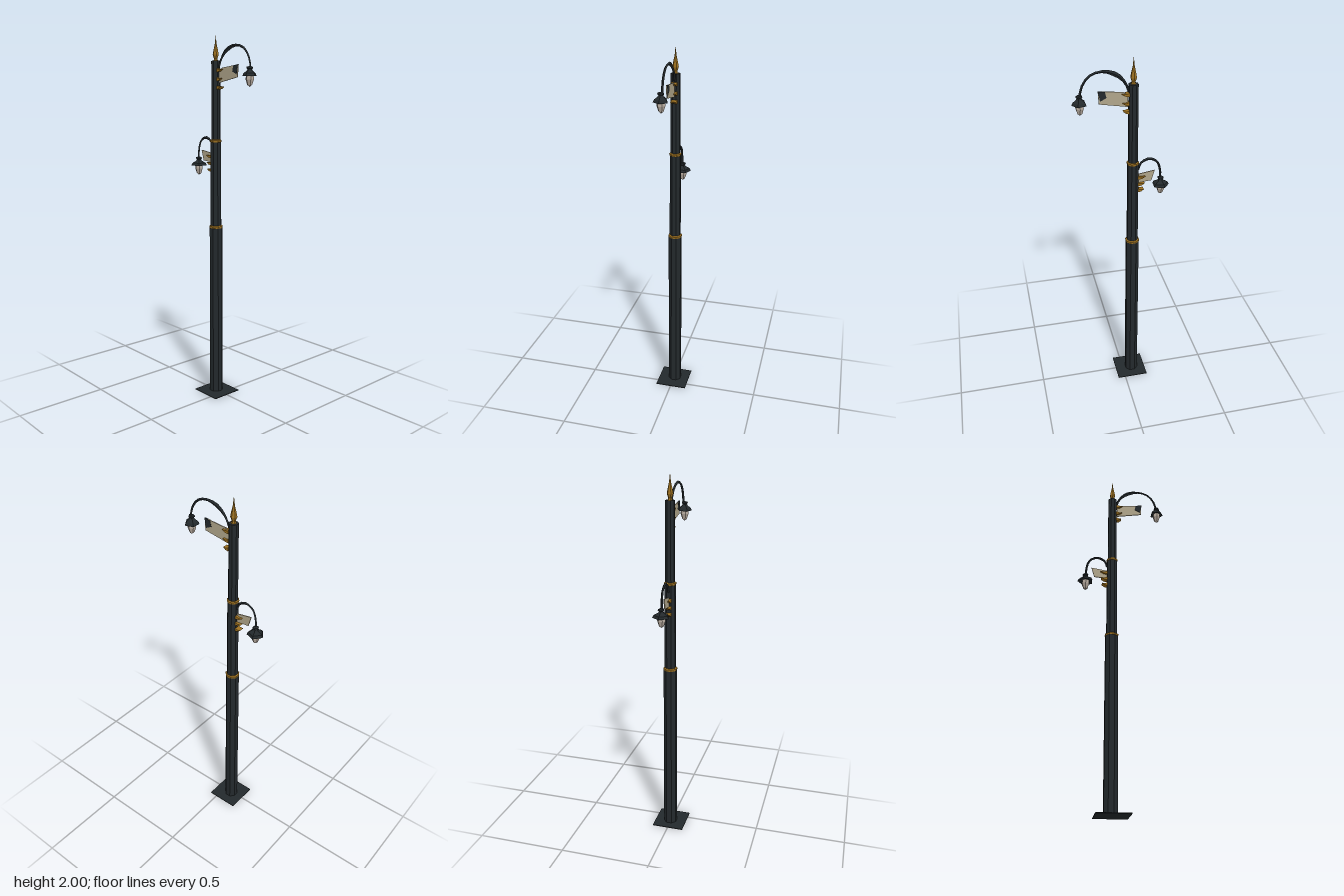
import * as THREE from 'three';

const AX = -0.054, AZ = -0.004; // pole axis
const mat = (color, side = THREE.FrontSide) =>
  new THREE.MeshStandardMaterial({ color, flatShading: true, side });
const iron = mat(0x23292c, THREE.DoubleSide);
const gold = mat(0x9c7020, THREE.DoubleSide);
const cream = mat(0xb0a58a, THREE.DoubleSide);
const glass = mat(0xb8aca0);

function add(parent, name, geometry, material, x = 0, y = 0, z = 0) {
  const m = new THREE.Mesh(geometry, material);
  m.name = name;
  m.position.set(x, y, z);
  parent.add(m);
  return m;
}
const lathe = (pts, sides, turn = 0) =>
  new THREE.LatheGeometry(pts.map(p => new THREE.Vector2(...p)), sides, turn);

// Flat outline in x/y, given a thickness centred on z
function slab(pts, depth) {
  const shape = new THREE.Shape(pts.map(p => new THREE.Vector2(...p)));
  return new THREE.ExtrudeGeometry(shape, { depth, bevelEnabled: false }).translate(0, 0, -depth / 2);
}

// Hanging lamp: cap and flared shade over a pointed glass bulb
function lamp(parent, name, x, y, z, r, turn) {
  const g = new THREE.Group();
  g.name = name;
  g.position.set(x, y, z);
  add(g, 'shade', lathe([[r, -0.008], [r * 0.85, 0.006], [0.017, 0.018], [0.012, 0.026],
    [0.018, 0.031], [0.016, 0.038], [0, 0.042]], 5, turn), iron);
  add(g, 'shadeUnderside', lathe([[0, 0], [r, -0.008]], 5, turn), iron);
  add(g, 'bulb', lathe([[0, -0.062], [0.013, -0.052], [0.022, -0.025], [0.02, 0]], 6), glass);
  parent.add(g);
}

// Curved arm through x/y points, swelling in height around its crest
function arm(parent, name, pts, z, swell) {
  const curve = new THREE.CatmullRomCurve3(pts.map(p => new THREE.Vector3(p[0], p[1], 0)));
  const n = 12, sides = 4;
  const geo = new THREE.TubeGeometry(curve, n, 0.006, sides, false);
  const pos = geo.attributes.position;
  for (let i = 0; i <= n; i++) {
    const c = curve.getPointAt(i / n);
    const k = 1 + swell * Math.exp(-(((i / n - 0.32) / 0.13) ** 2));
    for (let j = 0; j <= sides; j++) {
      const v = i * (sides + 1) + j;
      pos.setXY(v, c.x + (pos.getX(v) - c.x) * k, c.y + (pos.getY(v) - c.y) * k);
    }
  }
  add(parent, name, geo, iron, 0, 0, z);
}

// Wedge-shaped scroll brackets stacked on one side of the pole
function brackets(parent, side, ys, lengths, start) {
  ys.forEach((y, i) => {
    const L = lengths[i];
    const pts = [[0, -0.009], [L * 0.55, -0.006], [L, 0.005], [L * 0.5, 0.004], [0, 0.009]]
      .map(p => [p[0] * side, p[1]]);
    add(parent, 'bracket', slab(pts, 0.03), gold, AX + side * start, y, AZ);
  });
}

export function createModel() {
  const model = new THREE.Group();
  model.name = 'streetLamp';

  add(model, 'basePlate', new THREE.BoxGeometry(0.178, 0.004, 0.177), iron, -0.046, 0.002, -0.001);

  // Three stepped octagonal pole sections: name, bottom, top, radius
  for (const [name, y0, y1, r] of [['lowerPole', 0, 0.965, 0.038],
    ['middlePole', 0.965, 1.44, 0.031], ['upperPole', 1.44, 1.865, 0.026]]) {
    const geo = new THREE.CylinderGeometry(r * 0.97, r, y1 - y0, 8).rotateY(Math.PI / 8);
    add(model, name, geo, iron, AX, (y0 + y1) / 2, AZ);
  }

  // Gilded collars at the steps
  for (const [y, r] of [[0.966, 0.038], [1.441, 0.032]]) {
    add(model, 'collar', lathe([[r - 0.008, -0.01], [r, -0.006], [r + 0.001, 0.004],
      [r - 0.008, 0.009]], 8, Math.PI / 8), gold, AX, y, AZ);
  }

  // Spear finial
  add(model, 'finial', lathe([[0, 0], [0.014, 0], [0.009, 0.012], [0.017, 0.034], [0.012, 0.06],
    [0.005, 0.09], [0, 0.137]], 6), gold, AX, 1.863, AZ);

  // Upper (left-hand) lamp and sign
  arm(model, 'upperArm', [[-0.03, 1.83], [-0.012, 1.875], [0.03, 1.917], [0.095, 1.938],
    [0.16, 1.922], [0.2, 1.87], [0.212, 1.815]], AZ - 0.002, 1.0);
  lamp(model, 'upperLamp', 0.212, 1.787, 0, 0.039, 0.3);
  add(model, 'upperSign', slab([[-0.026, 1.75], [0.118, 1.776], [0.122, 1.84], [0, 1.828], [-0.026, 1.815]], 0.005),
    cream, 0, 0, AZ);
  add(model, 'upperSignCorner', slab([[0.08, 1.806], [0.112, 1.79], [0.122, 1.841], [0.088, 1.836]], 0.008),
    iron, 0, 0, AZ);
  brackets(model, 1, [1.815, 1.768, 1.725], [0.038, 0.034, 0.03], 0.022);

  // Lower (right-hand) lamp and sign
  arm(model, 'lowerArm', [[-0.083, 1.4], [-0.095, 1.435], [-0.14, 1.456], [-0.182, 1.435],
    [-0.2, 1.385], [-0.202, 1.33]], AZ - 0.002, 0.3);
  lamp(model, 'lowerLamp', -0.204, 1.305, -0.008, 0.046, -0.35);
  add(model, 'lowerSign', slab([[-0.083, 1.322], [-0.083, 1.372], [-0.172, 1.386], [-0.155, 1.328]], 0.005),
    cream, 0, 0, AZ);
  brackets(model, -1, [1.355, 1.316, 1.28], [0.04, 0.036, 0.032], 0.026);

  return model;
}
